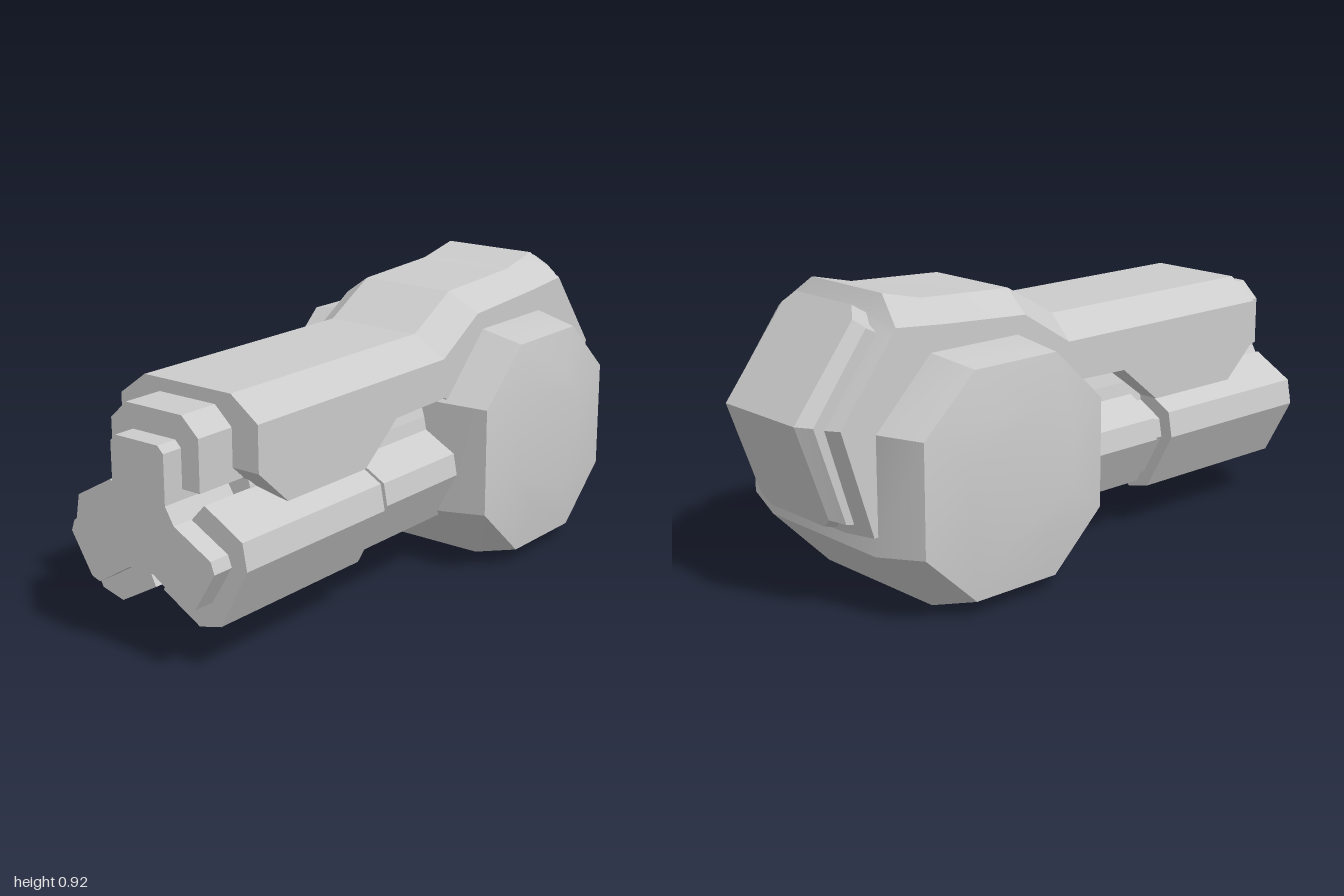
import * as THREE from 'three';
import { toCreasedNormals } from 'three/addons/utils/BufferGeometryUtils.js';

const material = new THREE.MeshStandardMaterial({ color: 0xcccccc });

// Joins side profiles [z, y] (counter-clockwise) placed at rising x values.
function loft(sections, crease) {
  const pos = [], idx = [];
  const n = sections[0].pts.length;
  sections.forEach(({ x, pts }) => pts.forEach(([z, y]) => pos.push(x, y, z)));
  for (let s = 0; s < sections.length - 1; s++) {
    for (let i = 0; i < n; i++) {
      const a = s * n + i, b = s * n + (i + 1) % n;
      idx.push(a, a + n, b + n, a, b + n, b);
    }
  }
  const cap = (s, flip) => {
    const contour = sections[s].pts.map(([z, y]) => new THREE.Vector2(z, y));
    for (const [a, b, c] of THREE.ShapeUtils.triangulateShape(contour, [])) {
      const o = s * n;
      if (flip) idx.push(o + a, o + c, o + b);
      else idx.push(o + a, o + b, o + c);
    }
  };
  cap(0, false);
  cap(sections.length - 1, true);
  const g = new THREE.BufferGeometry();
  g.setAttribute('position', new THREE.Float32BufferAttribute(pos, 3));
  g.setIndex(idx);
  return toCreasedNormals(g, crease);
}

// Mirrors half of the sections (given from the middle outwards) to -x.
function mirroredLoft(half, crease = 0.2) {
  const left = half.map(({ x, pts }) => ({ x: -x, pts })).reverse();
  return loft([...left, ...half], crease);
}

// Straight prism along z from an [x, y] outline.
function prism(outline, z0, z1) {
  const shape = new THREE.Shape(outline.map(([x, y]) => new THREE.Vector2(x, y)));
  const g = new THREE.ExtrudeGeometry(shape, { depth: z1 - z0, bevelEnabled: false });
  return g.translate(0, 0, z0);
}

// Octagon in the side plane with cut corners.
function octagon(z0, z1, y0, y1, cz, cy) {
  return [
    [z1 - cz, y1], [z0 + cz, y1], [z0, y1 - cy], [z0, y0 + cy],
    [z0 + cz, y0], [z1 - cz, y0], [z1, y0 + cy], [z1, y1 - cy],
  ];
}

const mirrorOutline = (half) => [...half, ...half.map(([x, y]) => [-x, y]).reverse()];

export function createModel() {
  const group = new THREE.Group();
  const add = (name, geometry) => {
    const mesh = new THREE.Mesh(geometry, material);
    mesh.name = name;
    group.add(mesh);
    return mesh;
  };

  // Wide drum lying across the rear, with slightly domed ends
  add('drum', mirroredLoft([
    { x: 0.25, pts: octagon(-0.8, -0.07, 0, 0.757, 0.2, 0.2) },
    { x: 0.412, pts: octagon(-0.752, -0.075, 0.05, 0.73, 0.185, 0.17) },
    { x: 0.435, pts: octagon(-0.6, -0.21, 0.2, 0.59, 0.11, 0.11) },
  ], 0.3));

  // Long housing with chamfered upper edges
  const underside = [[-0.4, 0.3], [-0.07, 0.575], [0.18, 0.57], [0.33, 0.45], [0.68, 0.45], [0.8, 0.56]];
  add('housing', mirroredLoft([
    { x: 0.163, pts: [[0.8, 0.77], [-0.04, 0.77], [-0.22, 0.873], [-0.55, 0.89], [-0.69, 0.923],
      [-0.725, 0.86], [-0.94, 0.58], [-0.84, 0.26], ...underside] },
    { x: 0.26, pts: [[0.8, 0.7], [-0.06, 0.7], [-0.24, 0.81], [-0.55, 0.83], [-0.72, 0.845],
      [-0.735, 0.825], [-0.915, 0.59], [-0.81, 0.26], ...underside] },
  ]));

  // Raised plate wrapped over the back of the housing
  add('rearPlate', mirroredLoft([
    { x: 0.13, pts: [[-0.715, 0.865], [-0.77, 0.897], [-1, 0.6], [-0.885, 0.28], [-0.81, 0.26], [-0.86, 0.58]] },
    { x: 0.165, pts: [[-0.73, 0.84], [-0.795, 0.865], [-1, 0.6], [-0.895, 0.31], [-0.82, 0.29], [-0.86, 0.58]] },
    { x: 0.205, pts: [[-0.74, 0.825], [-0.78, 0.845], [-0.965, 0.597], [-0.865, 0.3], [-0.82, 0.29], [-0.86, 0.58]] },
  ]));

  // Upper muzzle block in front of the housing
  add('upperBlock', prism(mirrorOutline([
    [0.165, 0.52], [0.165, 0.675], [0.105, 0.73],
  ]), 0.7, 0.932));

  // Three-armed core running through to the front tip
  add('frontCore', prism(mirrorOutline([
    [0.045, 0.28], [0.17, 0.205], [0.2, 0.215], [0.275, 0.335], [0.262, 0.37], [0.13, 0.44],
    [0.1, 0.49], [0.1, 0.637], [0.08, 0.657],
  ]), 0.3, 1));

  // Filler under the housing, between the lower bars
  add('centreSpine', prism(mirrorOutline([
    [0.035, 0.25], [0.17, 0.3], [0.2, 0.4], [0.18, 0.5], [0.16, 0.565],
  ]), -0.2, 0.75));

  // Pair of lower bars: thick front sleeve, narrow neck, rear sleeve
  const bar = [[0.015, 0.205], [0.15, 0.13], [0.23, 0.15], [0.33, 0.335], [0.315, 0.415], [0.18, 0.49], [0.13, 0.437]];
  const scaled = (k, side) => {
    const pts = bar.map(([x, y]) => [side * (0.175 + (x - 0.175) * k), 0.315 + (y - 0.315) * k]);
    return side < 0 ? pts.reverse() : pts;
  };
  for (const [side, label] of [[1, 'left'], [-1, 'right']]) {
    add(label + 'FrontSleeve', prism(scaled(1, side), 0.33, 0.932));
    add(label + 'BarNeck', prism(scaled(0.72, side), 0.2, 0.4));
    add(label + 'RearSleeve', prism(scaled(0.85, side), -0.2, 0.287));
  }

  return group;
}
